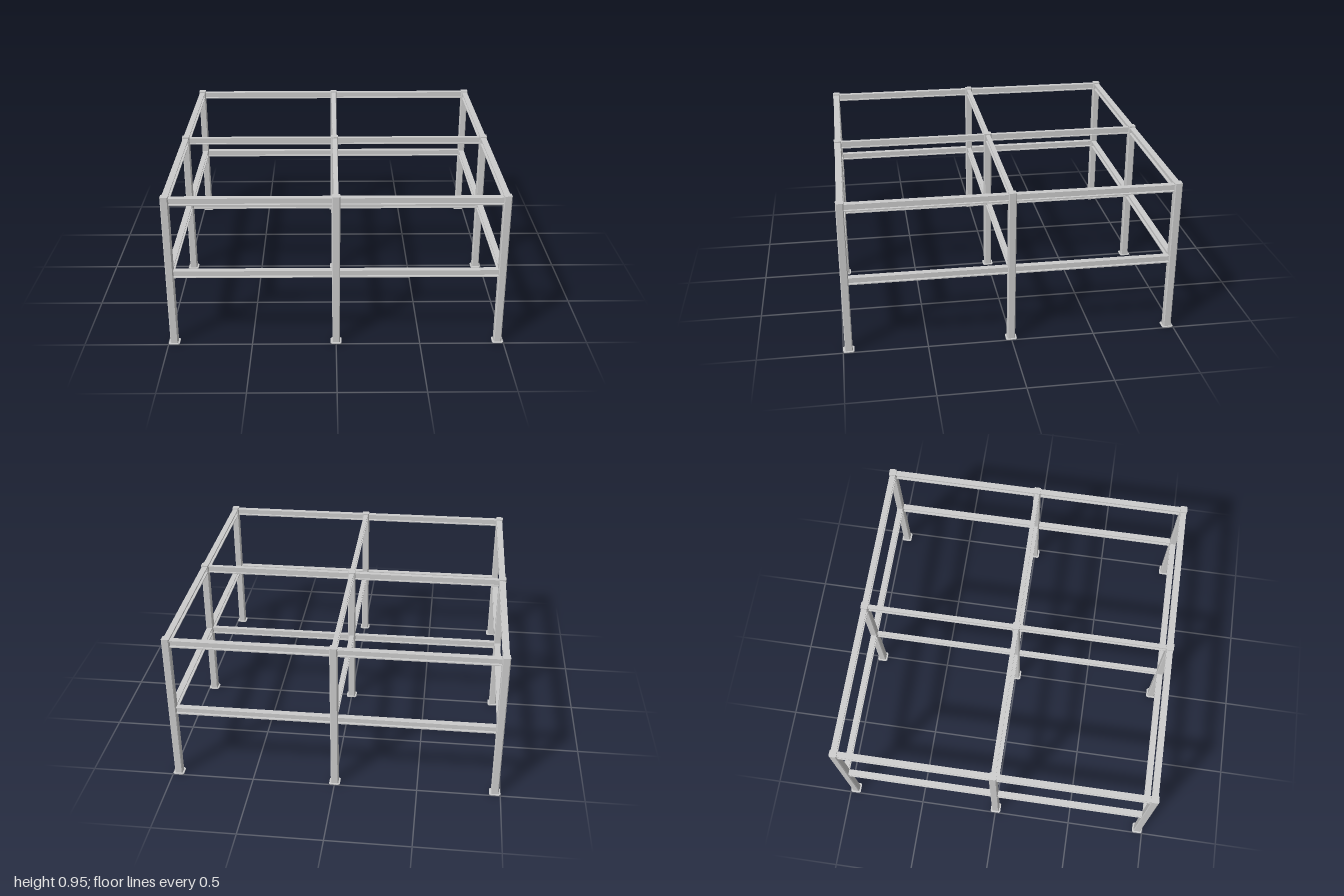
import * as THREE from 'three';

const material = new THREE.MeshStandardMaterial({ color: 0xcccccc, flatShading: true });
const GRID = [-0.967, 0, 0.967];
const COLUMN = 0.046;

// I-section of width w, height h and plate thickness t, extruded along z and centred
function iBeam(w, h, t, length) {
  const a = w / 2, b = h / 2, c = t / 2;
  const right = [[a, -b], [a, -b + t], [c, -b + t], [c, b - t], [a, b - t], [a, b]];
  const left = right.map(([x, y]) => [-x, y]).reverse();
  const shape = new THREE.Shape([...right, ...left].map(([x, y]) => new THREE.Vector2(x, y)));
  const geometry = new THREE.ExtrudeGeometry(shape, { depth: length, bevelEnabled: false });
  return geometry.translate(0, 0, -length / 2);
}

// Square plate with clipped corners, standing on y
function plateGeometry(size, thickness, clip) {
  const s = size / 2, k = s - clip;
  const corners = [[s, -k], [s, k], [k, s], [-k, s], [-s, k], [-s, -k], [-k, -s], [k, -s]];
  const shape = new THREE.Shape(corners.map(([x, y]) => new THREE.Vector2(x, y)));
  const geometry = new THREE.ExtrudeGeometry(shape, { depth: thickness, bevelEnabled: false });
  return geometry.rotateX(-Math.PI / 2);
}

export function createModel() {
  const model = new THREE.Group();
  model.name = 'steelFrame';

  const add = (name, geometry, x, y, z, turn = 0) => {
    const mesh = new THREE.Mesh(geometry, material);
    mesh.name = name;
    mesh.position.set(x, y, z);
    mesh.rotation.y = turn;
    model.add(mesh);
  };

  // Nine columns on base plates
  const column = plateGeometry(COLUMN, 0.952, 0.005);
  const basePlate = plateGeometry(0.066, 0.005, 0.008);
  for (const x of GRID) {
    for (const z of GRID) {
      add('column', column, x, 0, z);
      add('basePlate', basePlate, x, 0, z);
    }
  }

  // Two levels of beams between the columns, wider around the perimeter
  const span = 0.967 - COLUMN;
  const edgeBeam = iBeam(0.037, 0.044, 0.006, span);
  const innerBeam = iBeam(0.028, 0.044, 0.006, span);
  for (const y of [0.463, 0.922]) {
    for (const line of GRID) {
      const beam = line === 0 ? innerBeam : edgeBeam;
      const name = line === 0 ? 'innerBeam' : 'edgeBeam';
      for (const middle of [-0.4835, 0.4835]) {
        add(name, beam, line, y, middle);
        add(name, beam, middle, y, line, Math.PI / 2);
      }
    }
  }
  return model;
}
